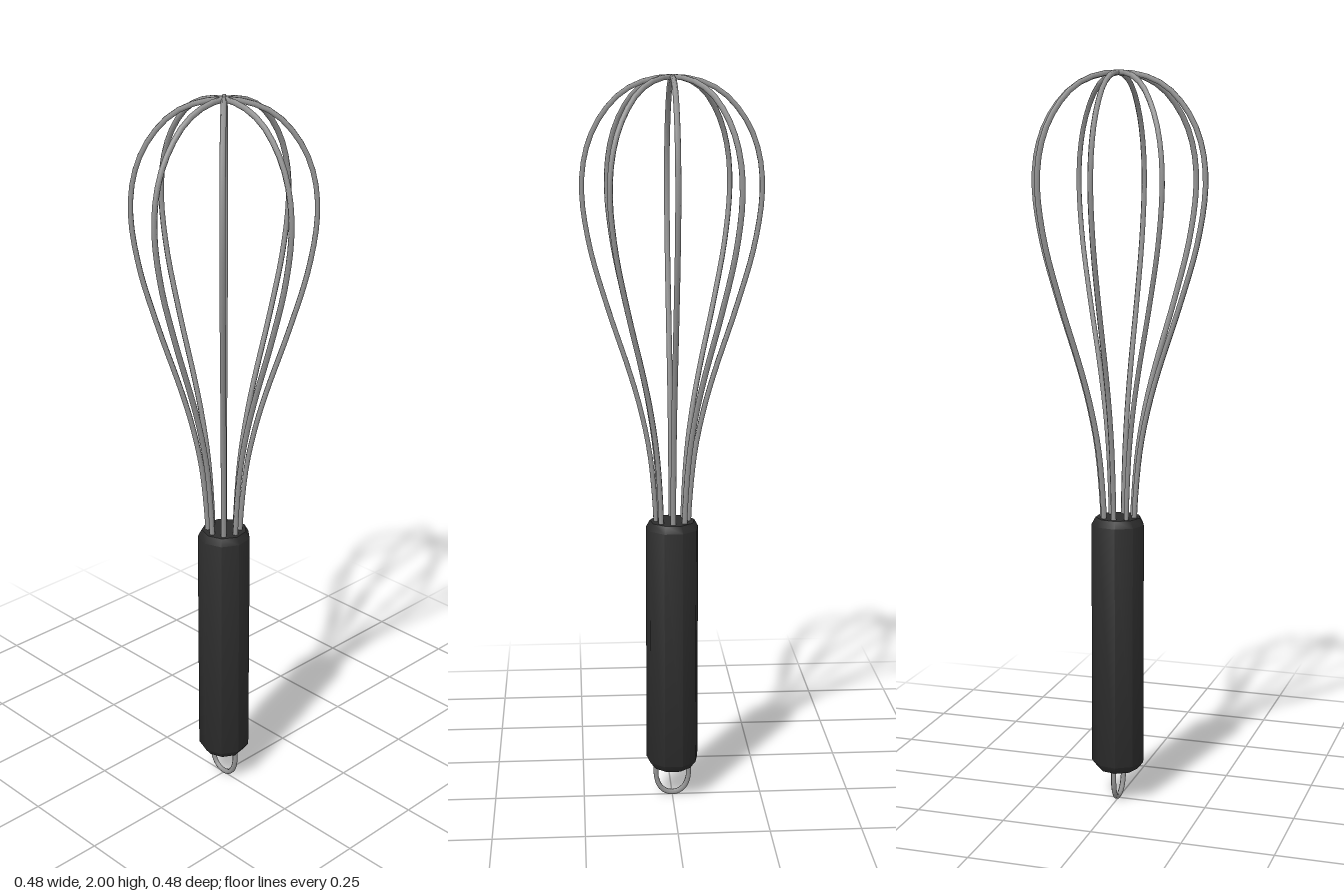
import * as THREE from 'three';
import { toCreasedNormals } from 'three/addons/utils/BufferGeometryUtils.js';

const steel = new THREE.MeshStandardMaterial({ color: 0x969696 });
steel.name = 'steel';
const rubber = new THREE.MeshStandardMaterial({ color: 0x2d2d2d });
rubber.name = 'black rubber';

const WIRE = 0.0075;

// Bends a wire symmetrically about the y axis from the points of its +x half,
// listed from the open end to the middle (which lies on x = 0).
function bentWire(half, segments, name) {
  const mirrored = half.slice(0, -1).reverse().map(([x, y]) => [-x, y]);
  const points = [...half, ...mirrored].map(([x, y]) => new THREE.Vector3(x, y, 0));
  const curve = new THREE.CatmullRomCurve3(points, false, 'centripetal');
  const mesh = new THREE.Mesh(new THREE.TubeGeometry(curve, segments, WIRE, 6), steel);
  mesh.name = name;
  return mesh;
}

export function createModel() {
  const model = new THREE.Group();
  model.name = 'whisk';

  // Nine-sided grip with bevelled ends
  const profile = [
    [0, 0.093], [0.056, 0.093], [0.073, 0.115],
    [0.073, 0.79], [0.062, 0.81], [0, 0.81],
  ].map(([r, y]) => new THREE.Vector2(r, y));
  const grip = new THREE.Mesh(
    toCreasedNormals(new THREE.LatheGeometry(profile, 9), 0.75), rubber);
  grip.name = 'grip';
  grip.position.z = -0.001;
  model.add(grip);

  // Four balloon wires crossing at the top
  const balloon = [
    [0.044, 0.76], [0.046, 0.84], [0.061, 1.0], [0.085, 1.12], [0.113, 1.22],
    [0.172, 1.4], [0.217, 1.56], [0.236, 1.7], [0.226, 1.8], [0.194, 1.88],
    [0.135, 1.95], [0.07, 1.983], [0, 1.9925],
  ];
  const wires = new THREE.Group();
  wires.name = 'balloonWires';
  for (let i = 0; i < 4; i++) {
    const wire = bentWire(balloon, 72, 'balloonWire');
    wire.rotation.y = i * Math.PI / 4;
    wires.add(wire);
  }
  model.add(wires);

  // Hanging loop under the grip
  model.add(bentWire([
    [0.046, 0.13], [0.046, 0.09], [0.045, 0.055], [0.034, 0.026], [0.017, 0.012], [0, 0.0085],
  ], 32, 'hangingLoop'));

  return model;
}
